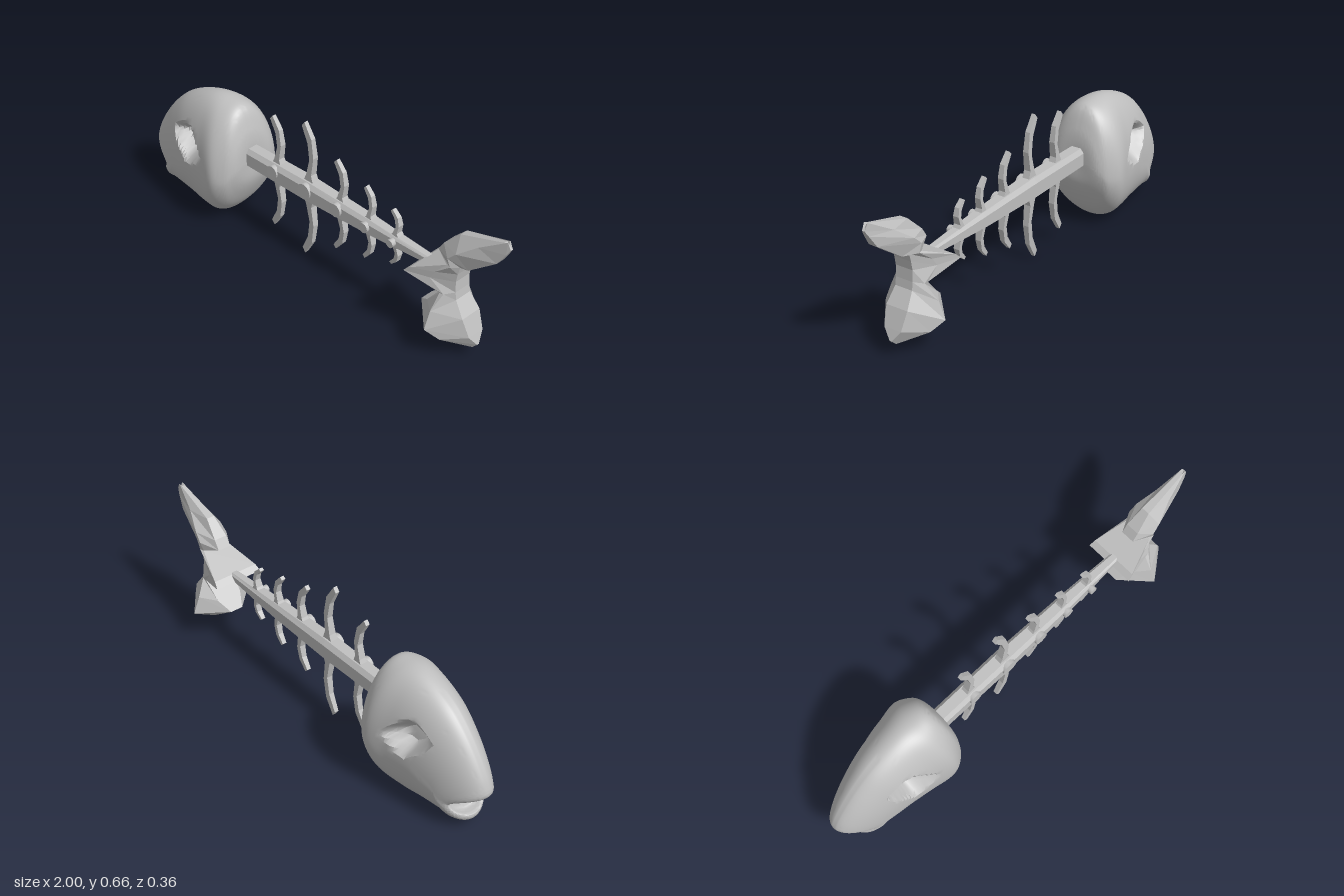
import * as THREE from 'three';
import { toCreasedNormals } from 'three/addons/utils/BufferGeometryUtils.js';

const bone = new THREE.MeshStandardMaterial({ color: 0xbfbfbf });
bone.name = 'bone grey';

function part(name, geometry) {
  const mesh = new THREE.Mesh(geometry, bone);
  mesh.name = name;
  return mesh;
}

// Skins a list of closed rings of [x, y, z] points, capping both ends
function loft(rings) {
  const n = rings[0].length;
  const pos = rings.flat(2);
  const index = [];
  for (let r = 0; r < rings.length - 1; r++) {
    for (let i = 0; i < n; i++) {
      const a = r * n + i, b = r * n + (i + 1) % n;
      index.push(a, b, a + n, b, b + n, a + n);
    }
  }
  [0, rings.length - 1].forEach((r, end) => {
    const centre = pos.length / 3;
    for (let k = 0; k < 3; k++) pos.push(rings[r].reduce((s, p) => s + p[k], 0) / n);
    for (let i = 0; i < n; i++) {
      const a = r * n + i, b = r * n + (i + 1) % n;
      if (end) index.push(a, b, centre); else index.push(b, a, centre);
    }
  });
  // Turn the surface outward if its signed volume is negative
  const v = (i) => new THREE.Vector3().fromArray(pos, index[i] * 3);
  let volume = 0;
  for (let i = 0; i < index.length; i += 3) volume += v(i).dot(v(i + 1).cross(v(i + 2)));
  if (volume < 0) index.reverse();
  const g = new THREE.BufferGeometry();
  g.setAttribute('position', new THREE.Float32BufferAttribute(pos, 3));
  g.setIndex(index);
  return g;
}

function flat(g) {
  const out = g.toNonIndexed();
  out.computeVertexNormals();
  return out;
}

// Skull: rings run from inside the mouth, over the lips, to the back
// Each row: top x, y, bottom x, y, side x, y, half width
function skull() {
  const rows = [
    [-0.87, 0.135, -0.87, 0.12, -0.868, 0.128, 0.002],
    [-0.9, 0.17, -0.89, 0.077, -0.872, 0.125, 0.07],
    [-0.975, 0.18, -0.933, 0.07, -0.88, 0.125, 0.09],
    [-1, 0.205, -0.93, 0.045, -0.87, 0.128, 0.1],
    [-0.99, 0.25, -0.9, 0.03, -0.84, 0.14, 0.112],
    [-0.94, 0.34, -0.86, 0.025, -0.8, 0.19, 0.122],
    [-0.86, 0.44, -0.8, 0.02, -0.74, 0.22, 0.135],
    [-0.77, 0.515, -0.72, 0.01, -0.68, 0.25, 0.147],
    [-0.62, 0.575, -0.64, 0.002, -0.58, 0.26, 0.164],
    [-0.53, 0.578, -0.54, 0.018, -0.48, 0.26, 0.18],
    [-0.46, 0.56, -0.49, 0.06, -0.43, 0.26, 0.15],
    [-0.42, 0.48, -0.445, 0.13, -0.41, 0.29, 0.12],
    [-0.407, 0.42, -0.41, 0.22, -0.402, 0.31, 0.09],
    [-0.405, 0.335, -0.405, 0.325, -0.405, 0.33, 0.004],
  ];
  const curve = (f) => new THREE.CatmullRomCurve3(rows.map((r) => new THREE.Vector3(...f(r))));
  const tops = curve((r) => [r[0], r[1], 0]);
  const bottoms = curve((r) => [r[2], r[3], 0]);
  const sides = curve((r) => [r[4], r[5], r[6]]);
  const steps = (rows.length - 1) * 7, around = 96;
  const rings = [];
  for (let s = 0; s <= steps; s++) {
    const t = s / steps;
    const top = tops.getPoint(t), bottom = bottoms.getPoint(t), side = sides.getPoint(t);
    const ring = [];
    for (let i = 0; i < around; i++) {
      const a = (i / around) * Math.PI * 2, c = Math.cos(a);
      const end = c > 0 ? top : bottom;
      const x = side.x + (end.x - side.x) * Math.abs(c) ** 1.5;
      const y = side.y + (end.y - side.y) * Math.abs(c);
      let z = side.z * Math.sin(a);
      // Eye sockets: slanted diamond pits pressed into both sides
      if (x > -0.83 && x < -0.5) {
        const dx = x + 0.675, dy = y - 0.345 + dx * 0.2;
        const d = (Math.abs(dx) / 0.115) ** 1.25 + (Math.abs(dy) / 0.088) ** 1.25;
        const depth = 0.075 * THREE.MathUtils.clamp((1 - d) / 0.6, 0, 1);
        z = Math.sign(z) * Math.max(Math.abs(z) - depth, Math.min(Math.abs(z), 0.02));
      }
      ring.push([x, y, z]);
    }
    rings.push(ring);
  }
  return toCreasedNormals(loft(rings), 0.6);
}

// Tapering spine with bevelled upper edges
function spine() {
  const section = [[1, -1], [1, 0.5], [0.6, 1], [-0.6, 1], [-1, 0.5], [-1, -1]];
  const stations = [[-0.42, 0.352, 0.038, 0.038], [-0.05, 0.355, 0.041, 0.04],
    [0.3, 0.352, 0.031, 0.033], [0.62, 0.35, 0.013, 0.02]];
  return flat(loft(stations.map(([x, y, h, w]) => section.map(([u, v]) => [x, y + v * h, u * w]))));
}

// One curved rib; dir is 1 for up and -1 for down
function rib(x, tipY, width, dir) {
  const outline = [[-0.04, 0], [-0.015, 0.2], [0.002, 0.45], [-0.01, 0.7], [-0.045, 0.93],
    [-0.03, 1], [0.012, 0.78], [0.025, 0.5], [0.014, 0.22], [0.036, 0]];
  const base = 0.35 + dir * 0.01;
  const shape = new THREE.Shape(outline.map(([u, t]) =>
    new THREE.Vector2(x + u * width, base + (tipY - base) * t)));
  const g = new THREE.ExtrudeGeometry(shape, { depth: 0.036, bevelEnabled: false });
  g.translate(0, 0, -0.018);
  // Thin the rib toward its tip
  const p = g.attributes.position;
  for (let i = 0; i < p.count; i++) {
    const t = (p.getY(i) - base) / (tipY - base);
    p.setZ(i, p.getZ(i) * (1 - 0.5 * t));
  }
  g.computeVertexNormals();
  return g;
}

// Forked tail, bottom lobe to top lobe
// Each row: x, y, half thickness at the leading edge, middle and trailing edge
function tail() {
  const rows = [
    [0.83, 0.057, 0.005, 0.855, 0.055, 0.01, 0.875, 0.075, 0.005],
    [0.7, 0.1, 0.05, 0.77, 0.1, 0.11, 0.86, 0.12, 0.04],
    [0.6, 0.165, 0.03, 0.72, 0.14, 0.145, 0.83, 0.2, 0.05],
    [0.655, 0.208, 0.06, 0.72, 0.215, 0.115, 0.785, 0.265, 0.04],
    [0.725, 0.285, 0.07, 0.745, 0.287, 0.07, 0.78, 0.3, 0.04],
    [0.575, 0.337, 0.115, 0.68, 0.34, 0.08, 0.778, 0.35, 0.04],
    [0.6, 0.36, 0.108, 0.7, 0.375, 0.075, 0.785, 0.39, 0.04],
    [0.745, 0.425, 0.06, 0.765, 0.425, 0.065, 0.795, 0.427, 0.04],
    [0.675, 0.45, 0.03, 0.755, 0.465, 0.07, 0.83, 0.43, 0.035],
    [0.7, 0.49, 0.03, 0.79, 0.5, 0.065, 0.95, 0.52, 0.02],
    [0.77, 0.56, 0.018, 0.87, 0.56, 0.035, 0.985, 0.575, 0.012],
    [0.97, 0.622, 0.008, 0.985, 0.63, 0.008, 1, 0.6, 0.006],
  ];
  return flat(loft(rows.map((r) => {
    const half = [0, 3, 6].map((k) => [r[k], r[k + 1], r[k + 2]]);
    return [...half, ...half.map(([x, y, z]) => [x, y, -z]).reverse()];
  })));
}

export function createModel() {
  const model = new THREE.Group();
  model.name = 'fishSkeleton';
  model.add(part('skull', skull()), part('spine', spine()), part('tail', tail()));

  // Ribs and joint knobs: x, upper tip, lower tip, width scale, knob radius, knob y
  const joints = [
    [-0.24, 0.61, 0.06, 0.95, 0.03, 0.36],
    [-0.05, 0.665, 0.01, 1, 0.036, 0.358],
    [0.13, 0.57, 0.13, 0.9, 0.031, 0.355],
    [0.29, 0.525, 0.17, 0.75, 0.023, 0.352],
    [0.435, 0.487, 0.22, 0.7, 0.018, 0.35],
  ];
  const ribs = new THREE.Group();
  ribs.name = 'ribs';
  for (const [x, up, down, width, radius, y] of joints) {
    ribs.add(part('upperRib', rib(x, up, width, 1)), part('lowerRib', rib(x, down, width, -1)));
    const knob = part('jointKnob', new THREE.CylinderGeometry(radius, radius, 0.05, 12));
    knob.rotation.x = Math.PI / 2;
    knob.position.set(x, y, 0.022);
    ribs.add(knob);
  }
  model.add(ribs);
  return model;
}
